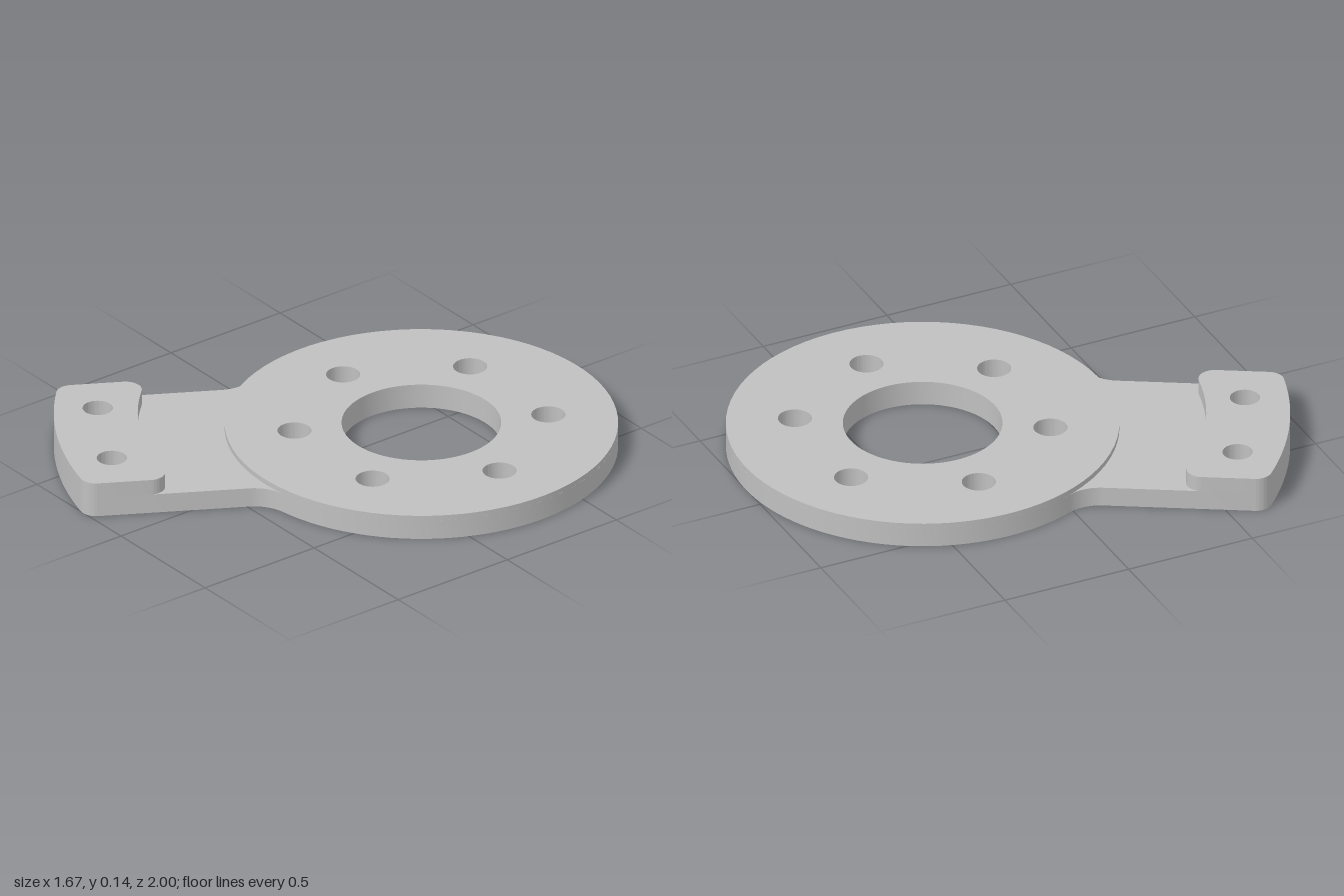
import * as THREE from 'three';
import { toCreasedNormals } from 'three/addons/utils/BufferGeometryUtils.js';

const PI = Math.PI;
const DISC_R = 0.715, HALF_W = 0.38, OUTER_R = 1.335, INNER_R = 1.03;
const CORNER = 0.06, FILLET = 0.15;
const ARM_TOP = 0.075, DISC_TOP = 0.095, PAD_TOP = 0.135;

// Rounded-corner centre: distance u off the arm axis, radius r from the disc centre
const centre = (u, r) => {
  const v = Math.sqrt(r * r - u * u);
  return { u, v, angle: Math.atan2(v, u) };
};
const neck = centre(HALF_W + FILLET, DISC_R + FILLET);
const tip = centre(HALF_W - CORNER, OUTER_R - CORNER);
const step = centre(HALF_W - CORNER, INNER_R + CORNER);

function addHole(shape, x, y, r) {
  const hole = new THREE.Path();
  hole.absarc(x, y, r, 0, 2 * PI, true);
  shape.holes.push(hole);
}

// Central bore and six bolt holes
function addDiscHoles(shape) {
  addHole(shape, 0, 0, 0.29);
  for (let i = 0; i < 6; i++) {
    const a = PI / 6 + i * PI / 3;
    addHole(shape, 0.465 * Math.cos(a), 0.465 * Math.sin(a), 0.062);
  }
}

function addPadHoles(shape) {
  for (const s of [-1, 1]) addHole(shape, s * 0.193, -1.16, 0.055);
}

// Curved far end shared by the arm and the pad
function addTip(shape) {
  shape.absarc(-tip.u, -tip.v, CORNER, PI, PI + tip.angle, false);
  shape.absarc(0, 0, OUTER_R, PI + tip.angle, 2 * PI - tip.angle, false);
  shape.absarc(tip.u, -tip.v, CORNER, -tip.angle, 0, false);
}

// Disc outline blended into the arm
function baseShape() {
  const s = new THREE.Shape();
  s.absarc(0, 0, DISC_R, -neck.angle, PI + neck.angle, false);
  s.absarc(-neck.u, -neck.v, FILLET, neck.angle, 0, true);
  addTip(s);
  s.absarc(neck.u, -neck.v, FILLET, PI, PI - neck.angle, true);
  addDiscHoles(s);
  addPadHoles(s);
  return s;
}

function discShape() {
  const s = new THREE.Shape();
  s.absarc(0, 0, DISC_R, 0, 2 * PI, false);
  addDiscHoles(s);
  return s;
}

// Raised pad between two arcs concentric with the disc
function padShape() {
  const s = new THREE.Shape();
  addTip(s);
  s.absarc(step.u, -step.v, CORNER, 0, PI - step.angle, false);
  s.absarc(0, 0, INNER_R, -step.angle, step.angle - PI, true);
  s.absarc(-step.u, -step.v, CORNER, step.angle, PI, false);
  addPadHoles(s);
  return s;
}

export function createModel() {
  const metal = new THREE.MeshStandardMaterial({ color: 0xc0c0c0 });
  metal.name = 'grey metal';

  const model = new THREE.Group();
  model.name = 'flangeBracket';

  function addPlate(name, shape, bottom, top) {
    const extruded = new THREE.ExtrudeGeometry(shape, {
      depth: top - bottom, bevelEnabled: false, curveSegments: 40,
    });
    extruded.rotateX(-PI / 2);
    const mesh = new THREE.Mesh(toCreasedNormals(extruded, 0.6), metal);
    mesh.name = name;
    mesh.position.y = bottom;
    model.add(mesh);
  }

  addPlate('basePlate', baseShape(), 0, ARM_TOP);
  addPlate('raisedDisc', discShape(), ARM_TOP, DISC_TOP);
  addPlate('raisedPad', padShape(), ARM_TOP, PAD_TOP);

  // Swing the arm towards the front right-hand corner
  model.rotation.y = -PI / 6;
  model.position.set(0.117, 0, -0.287);
  return model;
}
